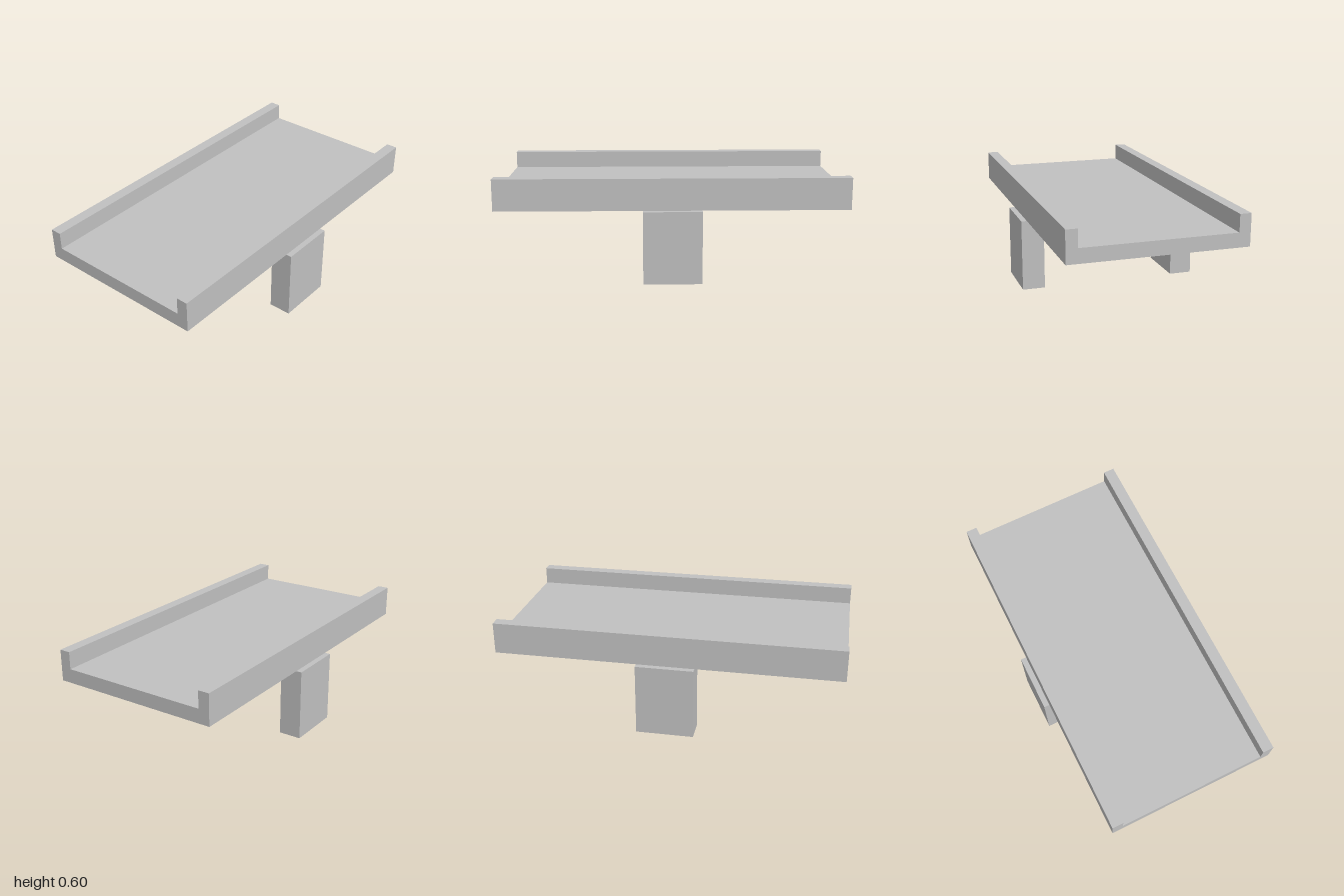
import * as THREE from 'three';

const concrete = new THREE.MeshStandardMaterial({ color: 0xc0c0c0 });
concrete.name = 'concrete grey';

export function createModel() {
  const model = new THREE.Group();
  model.name = 'bridge';

  // Trough-shaped deck: one channel profile extruded along z
  const half = 0.5, inner = 0.435, bottom = 0.418, floor = 0.5, top = 0.6;
  const profile = new THREE.Shape([
    [-half, bottom], [half, bottom], [half, top], [inner, top],
    [inner, floor], [-inner, floor], [-inner, top], [-half, top],
  ].map(([x, y]) => new THREE.Vector2(x, y)));
  const deckGeometry = new THREE.ExtrudeGeometry(profile, { depth: 2, bevelEnabled: false });
  deckGeometry.translate(0, 0, -1);
  const deck = new THREE.Mesh(deckGeometry, concrete);
  deck.name = 'deck';
  model.add(deck);

  // Mirrored support piers, slightly wider than the deck
  const pierGeometry = new THREE.BoxGeometry(0.133, bottom, 0.333);
  for (const [side, name] of [[1, 'leftPier'], [-1, 'rightPier']]) {
    const pier = new THREE.Mesh(pierGeometry, concrete);
    pier.name = name;
    pier.position.set(side * 0.4665, bottom / 2, 0);
    model.add(pier);
  }

  return model;
}
